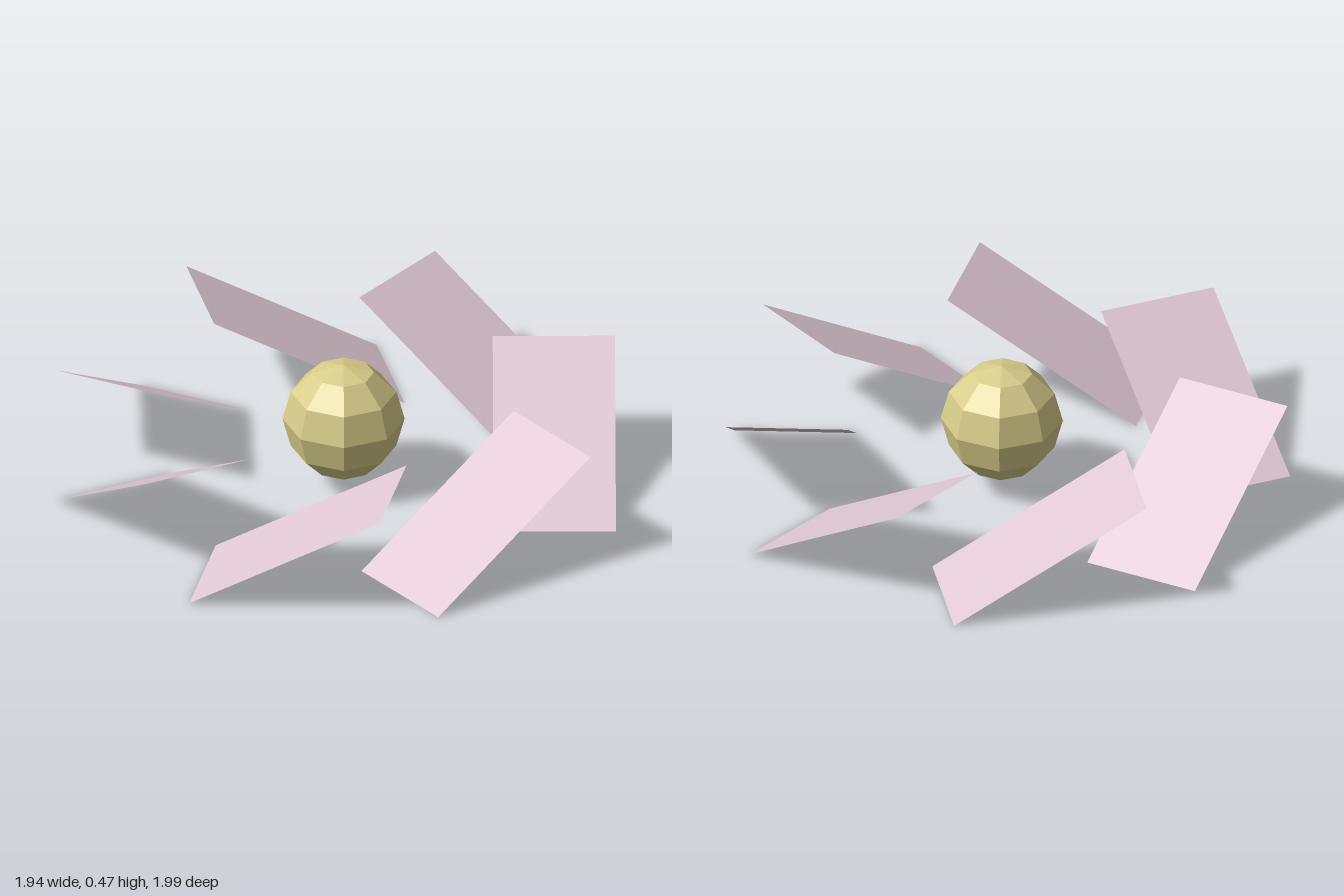
import * as THREE from 'three';

export function createModel() {
  const model = new THREE.Group();

  const pink = new THREE.MeshStandardMaterial({ color: 0xdfc7d3, flatShading: true, side: THREE.DoubleSide });
  pink.name = 'palePink';
  const yellow = new THREE.MeshStandardMaterial({ color: 0xd8cd8a, flatShading: true });
  yellow.name = 'paleYellow';

  // Flower centre: a faceted ball
  const ball = new THREE.Mesh(new THREE.SphereGeometry(0.2125, 8, 6), yellow);
  ball.name = 'flowerCentre';
  ball.position.set(0.025, 0.2625, 0);
  model.add(ball);

  // Petals: flat sheets pitched like propeller blades around the centre
  const run = 0.68, rise = 0.4, count = 7;
  const petalGeometry = new THREE.PlaneGeometry(0.425, Math.hypot(run, rise))
    .rotateX(-Math.PI / 2 + Math.atan2(rise, run))
    .translate(0.733, rise / 2, 0);
  const petals = new THREE.Group();
  petals.name = 'petals';
  petals.position.x = 0.025;
  for (let i = 0; i < count; i++) {
    const petal = new THREE.Mesh(petalGeometry, pink);
    petal.name = `petal${i + 1}`;
    petal.rotation.y = (i / count) * Math.PI * 2;
    petals.add(petal);
  }
  model.add(petals);

  return model;
}
